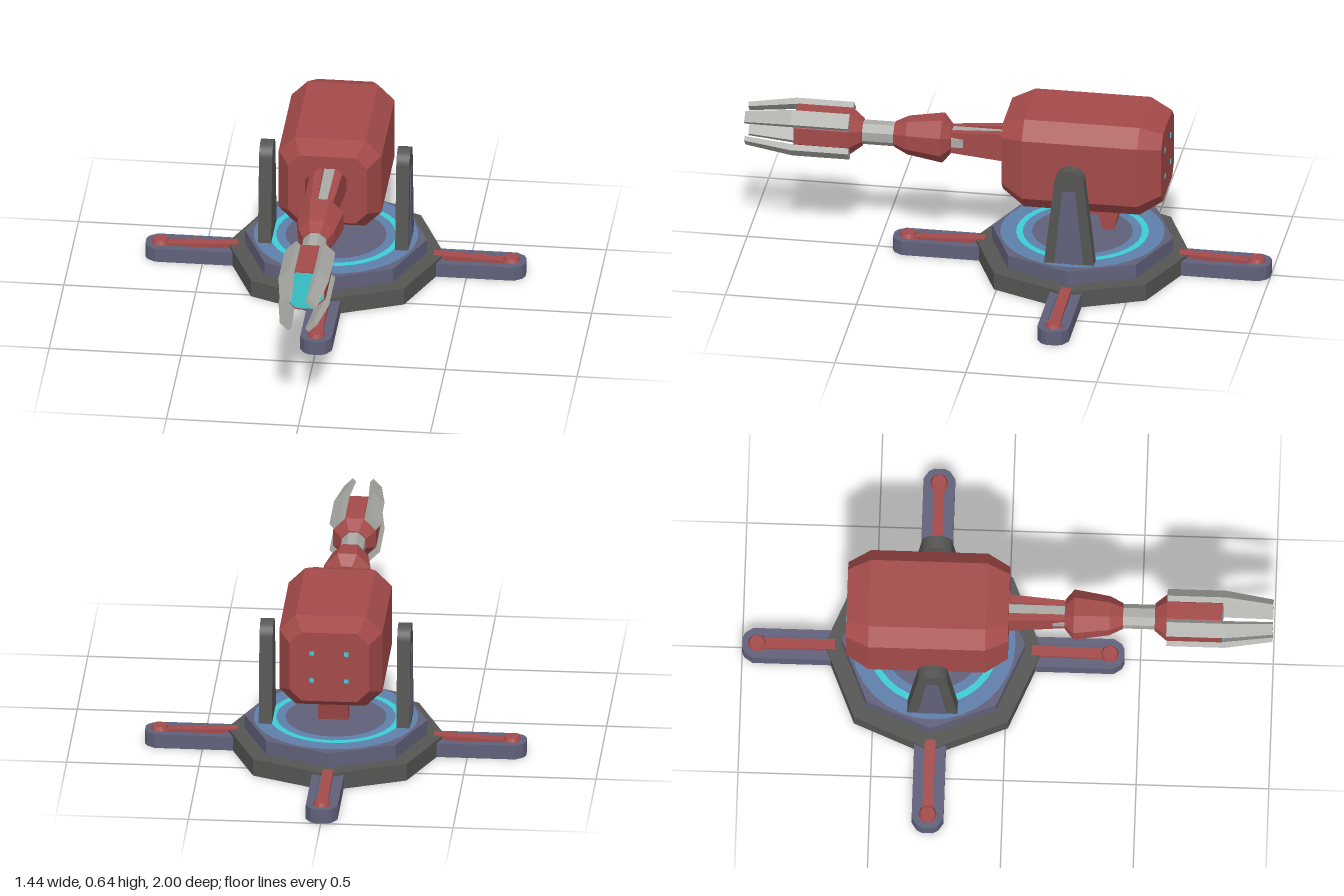
import * as THREE from 'three';

const mat = (name, color) => new THREE.MeshStandardMaterial({ name, color, flatShading: true, side: THREE.DoubleSide });
const red = mat('red armour', 0xa44a4a);
const metal = mat('light metal', 0xaaaaa6);
const dark = mat('dark metal', 0x555553);
const slate = mat('slate', 0x60607a);
const steel = mat('steel blue', 0x5f80aa);
const cyan = mat('cyan glow', 0x3ccdd6);

const BASE_Z = -0.28, AXIS_Y = 0.477;

function add(parent, name, geometry, material) {
  const mesh = new THREE.Mesh(geometry, material);
  mesh.name = name;
  parent.add(mesh);
  return mesh;
}

// chamfered rectangle cross-section at depth z
function ring(x, y0, y1, c, z) {
  return [[x, y0 + c], [x, y1 - c], [x - c, y1], [c - x, y1],
    [-x, y1 - c], [-x, y0 + c], [c - x, y0], [x - c, y0]].map(p => [p[0], p[1], z]);
}
const oct = (r, z) => ring(r, -r, r, r * 0.586, z);

// skin a row of cross-sections and close both ends
function loft(rings) {
  const v = [], n = rings[0].length, last = rings[rings.length - 1];
  for (let k = 0; k < rings.length - 1; k++) {
    for (let i = 0; i < n; i++) {
      const j = (i + 1) % n, a = rings[k], b = rings[k + 1];
      v.push(...a[i], ...a[j], ...b[j], ...a[i], ...b[j], ...b[i]);
    }
  }
  for (let i = 1; i < n - 1; i++) {
    v.push(...rings[0][0], ...rings[0][i + 1], ...rings[0][i]);
    v.push(...last[0], ...last[i], ...last[i + 1]);
  }
  const g = new THREE.BufferGeometry();
  g.setAttribute('position', new THREE.Float32BufferAttribute(v, 3));
  g.computeVertexNormals();
  return g;
}

// box whose front end shrinks towards the barrel axis
function taperBox(w, h, x, y, z0, z1, f) {
  const g = new THREE.BoxGeometry(w, h, z1 - z0).translate(x, y, (z0 + z1) / 2);
  const p = g.attributes.position;
  for (let i = 0; i < p.count; i++) {
    if (p.getZ(i) > (z0 + z1) / 2) p.setXY(i, p.getX(i) * f, p.getY(i) * f);
  }
  g.computeVertexNormals();
  return g;
}

const shapeOf = pts => new THREE.Shape(pts.map(p => new THREE.Vector2(...p)));
const extrude = (shape, depth) => new THREE.ExtrudeGeometry(shape, { depth, bevelEnabled: false, curveSegments: 12 });
// profile drawn in (-z, y), extruded along x and centred on x
const sideExtrude = (shape, width, x) => extrude(shape, width).rotateY(Math.PI / 2).translate(x - width / 2, 0, 0);
const lathe = (pts, sides) => new THREE.LatheGeometry(pts.map(p => new THREE.Vector2(...p)), sides);

function buildBase() {
  const base = new THREE.Group();
  base.name = 'base';
  base.position.z = BASE_Z;
  add(base, 'baseRing', lathe([[0.285, 0], [0.41, 0], [0.41, 0.068], [0.285, 0.068], [0.285, 0]], 8), dark);
  add(base, 'upperRing', lathe([[0.285, 0.068], [0.345, 0.068], [0.345, 0.124], [0.285, 0.124], [0.285, 0.068]], 8), slate);
  // concentric turntable rings
  const bands = [['turntableCentre', 0, 0.19, slate], ['innerBand', 0.19, 0.225, steel],
    ['glowBand', 0.225, 0.25, cyan], ['outerBand', 0.25, 0.31, steel]];
  for (const [name, r0, r1, m] of bands) {
    add(base, name, new THREE.RingGeometry(r0, r1, 32).rotateX(-Math.PI / 2).translate(0, 0.127, 0), m);
  }
  // four stabiliser legs
  for (let k = 0; k < 4; k++) {
    const leg = new THREE.Group();
    leg.name = 'leg';
    leg.rotation.y = k * Math.PI / 2;
    const outline = shapeOf([[0.37, -0.06], [0.68, -0.06], [0.71, -0.04], [0.72, -0.02],
      [0.72, 0.02], [0.71, 0.04], [0.68, 0.06], [0.37, 0.06]]);
    outline.holes.push(new THREE.Path([[0.42, -0.03], [0.42, 0.03], [0.67, 0.03], [0.67, -0.03]].map(p => new THREE.Vector2(...p))));
    add(leg, 'legFrame', extrude(outline, 0.056).rotateX(-Math.PI / 2), slate);
    add(leg, 'legPanel', new THREE.BoxGeometry(0.25, 0.008, 0.06).translate(0.545, 0.046, 0), slate);
    const strip = add(leg, 'legStrip', new THREE.BoxGeometry(0.28, 0.02, 0.04), red);
    strip.position.set(0.51, 0.055, 0);
    strip.rotation.z = -0.045;
    add(leg, 'legKnob', new THREE.CylinderGeometry(0.027, 0.037, 0.022, 14).translate(0.665, 0.06, 0), red);
    base.add(leg);
  }
  return base;
}

function buildBrackets() {
  const brackets = new THREE.Group();
  brackets.name = 'brackets';
  brackets.position.z = -0.275;
  const outline = shapeOf([[-0.095, 0.125], [0.095, 0.125], [0.057, 0.458]]);
  outline.absarc(0, 0.458, 0.057, 0, Math.PI, false);
  const panel = shapeOf([[-0.055, 0.13], [0.055, 0.13], [0.025, 0.43], [-0.025, 0.43]]);
  for (const s of [-1, 1]) {
    add(brackets, 'bracket', sideExtrude(outline, 0.05, s * 0.26), dark);
    add(brackets, 'bracketPanel', sideExtrude(panel, 0.004, s * 0.286), slate);
  }
  return brackets;
}

function buildBody() {
  const body = new THREE.Group();
  body.name = 'body';
  // chamfered housing with a recessed octagonal port
  add(body, 'housing', loft([
    ring(0.15, 0.33, 0.61, 0.045, -0.605), ring(0.195, 0.28, 0.645, 0.062, -0.52),
    ring(0.195, 0.28, 0.645, 0.062, -0.08), ring(0.15, 0.333, 0.613, 0.045, 0.005),
    ring(0.085, AXIS_Y - 0.085, AXIS_Y + 0.085, 0.05, 0.005),
    ring(0.085, AXIS_Y - 0.085, AXIS_Y + 0.085, 0.05, -0.12)]), red);
  // stepped block below the housing
  add(body, 'underBlock', sideExtrude(shapeOf([[0.165, 0.3], [0.185, 0.23], [0.35, 0.23],
    [0.365, 0.172], [0.41, 0.172], [0.44, 0.3]]), 0.115, 0), red);
  const frontGlow = add(body, 'underGlow', new THREE.BoxGeometry(0.07, 0.045, 0.006), cyan);
  frontGlow.position.set(0, 0.262, -0.175);
  frontGlow.rotation.x = -0.28;
  const lowGlow = add(body, 'lowerGlow', new THREE.BoxGeometry(0.05, 0.022, 0.006), cyan);
  lowGlow.position.set(0, 0.2, -0.357);
  lowGlow.rotation.x = -0.25;
  // small rear lights
  for (const x of [-0.065, 0.065]) for (const y of [0.415, 0.525]) {
    add(body, 'rearLight', new THREE.BoxGeometry(0.016, 0.016, 0.004).translate(x, y, -0.606), cyan);
  }
  return body;
}

function buildBarrel() {
  const barrel = new THREE.Group();
  barrel.name = 'barrel';
  barrel.position.y = AXIS_Y;
  add(barrel, 'barrelTube', loft([oct(0.043, -0.12), oct(0.043, 0.6)]), metal);
  for (const s of [-1, 1]) {
    add(barrel, 'barrelGuard', taperBox(0.035, 0.126, s * 0.042, 0, -0.1, 0.24, 0.65), red);
  }
  add(barrel, 'collar', loft([oct(0.05, 0.215), oct(0.088, 0.25), oct(0.068, 0.385), oct(0.045, 0.435)]), red);
  // muzzle with a glowing funnel
  add(barrel, 'muzzle', loft([oct(0.048, 0.555), oct(0.081, 0.6), oct(0.081, 0.81), oct(0.076, 0.81), oct(0.074, 0.8)]), red);
  add(barrel, 'muzzleGlow', loft([oct(0.0758, 0.805), oct(0.0757, 0.811), oct(0.035, 0.808)].slice(0, 2)), cyan);
  // four prongs on the diagonals
  for (let k = 0; k < 4; k++) {
    const prong = new THREE.Group();
    prong.name = 'prong';
    prong.rotation.z = Math.PI / 4 + k * Math.PI / 2;
    add(prong, 'prongBase', taperBox(0.025, 0.06, 0.0925, 0, 0.6, 0.82, 1), metal);
    add(prong, 'prongTip', taperBox(0.025, 0.06, 0.0925, 0, 0.82, 1.0, 0.74), metal);
    barrel.add(prong);
  }
  return barrel;
}

export function createModel() {
  const model = new THREE.Group();
  model.name = 'turret';
  model.add(buildBase(), buildBrackets(), buildBody(), buildBarrel());
  return model;
}
